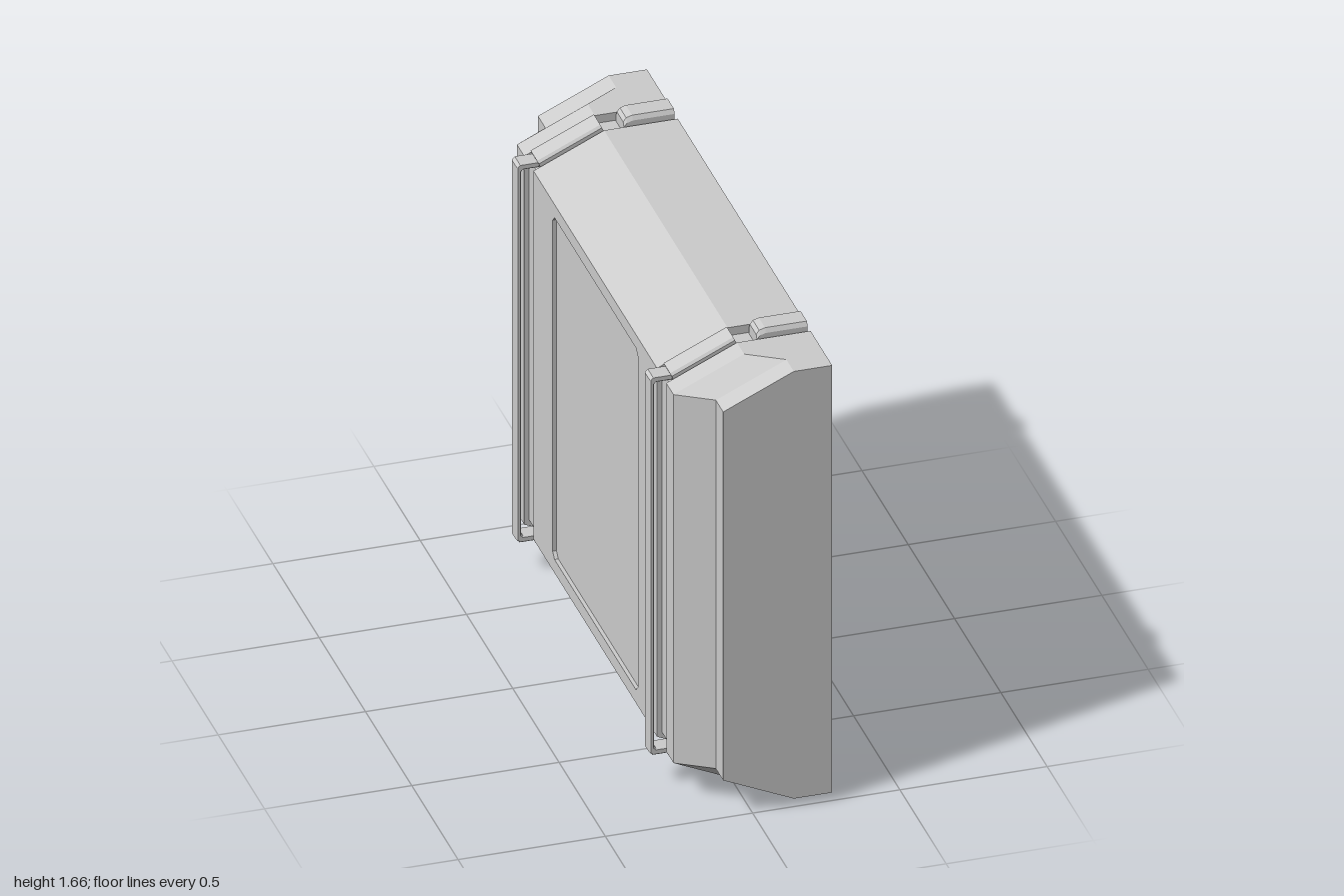
import * as THREE from 'three';

const shell = new THREE.MeshStandardMaterial({ color: 0xcccccc });
shell.name = 'light grey shell';

// Flat-faced solid through convex sections [z, points], points counter-clockwise, z rising
function loft(sections) {
  const pos = [];
  const put = (s, i) => pos.push(...s[1][i % s[1].length], s[0]);
  for (let k = 0; k + 1 < sections.length; k++) {
    const a = sections[k], b = sections[k + 1];
    for (let i = 0; i < a[1].length; i++) {
      put(a, i); put(a, i + 1); put(b, i + 1);
      put(a, i); put(b, i + 1); put(b, i);
    }
  }
  const lo = sections[0], hi = sections[sections.length - 1];
  for (let i = 1; i + 1 < lo[1].length; i++) {
    put(lo, 0); put(lo, i + 1); put(lo, i);
    put(hi, 0); put(hi, i); put(hi, i + 1);
  }
  const g = new THREE.BufferGeometry();
  g.setAttribute('position', new THREE.Float32BufferAttribute(pos, 3));
  g.computeVertexNormals();
  return g;
}

// Case profile: flat front at x = right, sloped shoulders, flat back; symmetric about y = 0
const profile = (right, top, bend, back, shoulder) => [
  [right, -top], [right, top], [bend, top], [back, shoulder], [back, -shoulder], [bend, -top]];

const polygon = (pts) => new THREE.Shape(pts.map(([x, y]) => new THREE.Vector2(x, y)));

function add(parent, name, geometry) {
  const mesh = new THREE.Mesh(geometry, shell);
  mesh.name = name;
  parent.add(mesh);
  return mesh;
}

// Chamfered rectangle centred on the origin
function cutRect(w, h, c) {
  return [[-w + c, -h], [w - c, -h], [w, -h + c], [w, h - c],
    [w - c, h], [-w + c, h], [-w, h - c], [-w, -h + c]];
}

export function createModel() {
  const model = new THREE.Group();
  model.name = 'case';
  const body = new THREE.Group();
  body.name = 'caseBody';
  body.position.y = 0.83;
  model.add(body);

  // Central body, its back set in so the frame below leaves a recessed panel
  const core = profile(0.27, 0.8, 0.02, -0.207, 0.696);
  add(body, 'centreBody', loft([[-0.667, core], [0.667, core]]));

  // Back frame around the recessed panel, with mitred top and bottom
  const frameShape = polygon([[-0.667, -0.69], [0.667, -0.69], [0.667, 0.69], [-0.667, 0.69]]);
  frameShape.holes.push(new THREE.Path(cutRect(0.46, 0.64, 0.02).map(([x, y]) => new THREE.Vector2(x, y))));
  const frame = new THREE.ExtrudeGeometry(frameShape, { depth: 0.013, bevelEnabled: false });
  frame.rotateY(-Math.PI / 2).translate(-0.207, 0, 0);
  const p = frame.attributes.position;
  for (let i = 0; i < p.count; i++) {
    if (Math.abs(p.getY(i)) > 0.68 && p.getX(i) > -0.21) p.setY(i, Math.sign(p.getY(i)) * 0.696);
  }
  frame.computeVertexNormals();
  add(body, 'backFrame', frame);

  // End caps step in toward the tips
  const wide = profile(0.27, 0.8, 0.02, -0.22, 0.69);
  const narrow = profile(0.27, 0.8, 0.14, -0.1, 0.69);
  const endCap = loft([[0.767, wide], [0.845, wide], [0.92, narrow], [1, narrow]]);
  add(body, 'endCap', endCap);
  add(body, 'endCap', endCap).rotation.x = Math.PI;

  // Shared strap geometries
  const inset = profile(0.262, 0.77, 0.0025, -0.203, 0.676);
  const groove = loft([[-0.055, inset], [0.055, inset]]);

  const clipAt = (h) => [[0.09, 0.765], [0.262, 0.765], [0.262, h], [0.12, h], [0.1, h - 0.006], [0.09, h - 0.02]];
  const clip = loft([[-0.043, clipAt(0.815)], [-0.034, clipAt(0.83)],
    [0.034, clipAt(0.83)], [0.043, clipAt(0.815)]]);

  // Rounded bar lying on the sloped shoulder
  const bar = new THREE.ExtrudeGeometry(
    polygon([[-0.042, -0.035], [0.042, -0.035], [0.042, -0.014], [0.035, -0.005],
      [0.022, 0], [-0.022, 0], [-0.035, -0.005], [-0.042, -0.014]]),
    { depth: 0.236, bevelEnabled: false });
  const along = new THREE.Vector3(0.909, 0.416, 0).normalize();
  const out = new THREE.Vector3(-along.y, along.x, 0);
  bar.applyMatrix4(new THREE.Matrix4()
    .makeBasis(new THREE.Vector3(0, 0, -1), out, along).setPosition(-0.205, 0.72, 0));

  // Carrying rod: long thin upright with a short return at each end
  const rodHalf = [[-0.195, 0.705], [-0.258, 0.705], [-0.266, 0.697]];
  const rodInner = [[-0.195, 0.69], [-0.249, 0.69], [-0.257, 0.682]];
  const flip = (pts) => pts.map(([x, y]) => [x, -y]).reverse();
  const rod = new THREE.ExtrudeGeometry(
    polygon([...rodHalf, ...flip(rodHalf), ...rodInner.map(([x, y]) => [x, -y]), ...rodInner.slice().reverse()]),
    { depth: 0.04, bevelEnabled: true, bevelSize: 0.004, bevelThickness: 0.01, bevelSegments: 2 });
  rod.translate(0, 0, -0.02);

  for (const side of [-1, 1]) {
    const strap = new THREE.Group();
    strap.name = 'strap';
    strap.position.z = side * 0.718;
    body.add(strap);
    add(strap, 'strapGroove', groove);
    add(strap, 'carryingRod', rod);
    // Clip and shoulder bar, repeated top and bottom
    for (const turn of [0, Math.PI]) {
      add(strap, 'clip', clip).rotation.x = turn;
      add(strap, 'shoulderBar', bar).rotation.x = turn;
    }
  }
  return model;
}
